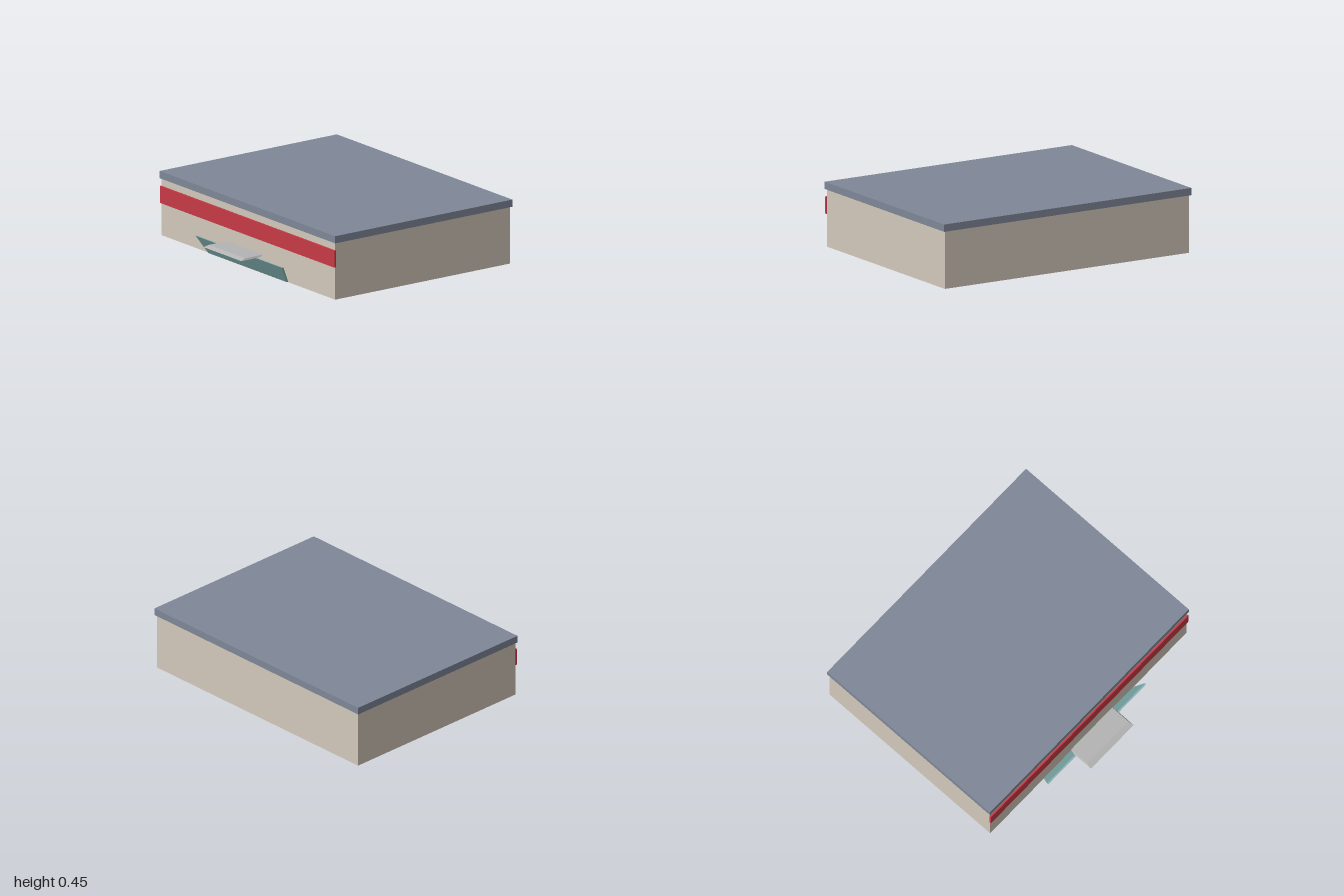
import * as THREE from 'three';

const mat = (color) => new THREE.MeshStandardMaterial({ color, flatShading: true });

// Box given by its minimum and maximum corners
function slab(name, color, [x0, y0, z0], [x1, y1, z1]) {
  const mesh = new THREE.Mesh(new THREE.BoxGeometry(x1 - x0, y1 - y0, z1 - z0), mat(color));
  mesh.position.set((x0 + x1) / 2, (y0 + y1) / 2, (z0 + z1) / 2);
  mesh.name = name;
  return mesh;
}

// Box whose bottom and top each have their own half width, height and z range
function skewedSlab(name, color, bottom, top) {
  const geo = new THREE.BoxGeometry(2, 2, 2);
  const p = geo.attributes.position;
  for (let i = 0; i < p.count; i++) {
    const end = p.getY(i) < 0 ? bottom : top;
    p.setXYZ(i, p.getX(i) * end.halfWidth, end.y, p.getZ(i) < 0 ? end.back : end.front);
  }
  geo.computeVertexNormals();
  const mesh = new THREE.Mesh(geo, mat(color));
  mesh.name = name;
  return mesh;
}

export function createModel() {
  const model = new THREE.Group();
  model.name = 'storeBuilding';

  // Main block and overhanging flat roof
  model.add(slab('walls', 0xd3c9bc, [-0.988, 0, -0.85], [0.988, 0.405, 0.636]));
  model.add(slab('roof', 0x7f8899, [-1, 0.403, -0.86], [1, 0.454, 0.645]));

  // Sign band across the front
  model.add(slab('signBand', 0xc83a46, [-0.994, 0.23, 0.634], [0.994, 0.35, 0.648]));

  // Glazing that leans outward and widens towards the top
  model.add(skewedSlab('entranceGlass', 0x86b4b4,
    { halfWidth: 0.447, y: 0, back: 0.632, front: 0.643 },
    { halfWidth: 0.493, y: 0.125, back: 0.707, front: 0.718 }));

  // Thin canopy over the entrance, with its top set back
  model.add(skewedSlab('entranceCanopy', 0xb4b4b4,
    { halfWidth: 0.215, y: 0.132, back: 0.704, front: 0.857 },
    { halfWidth: 0.207, y: 0.144, back: 0.666, front: 0.817 }));

  return model;
}
